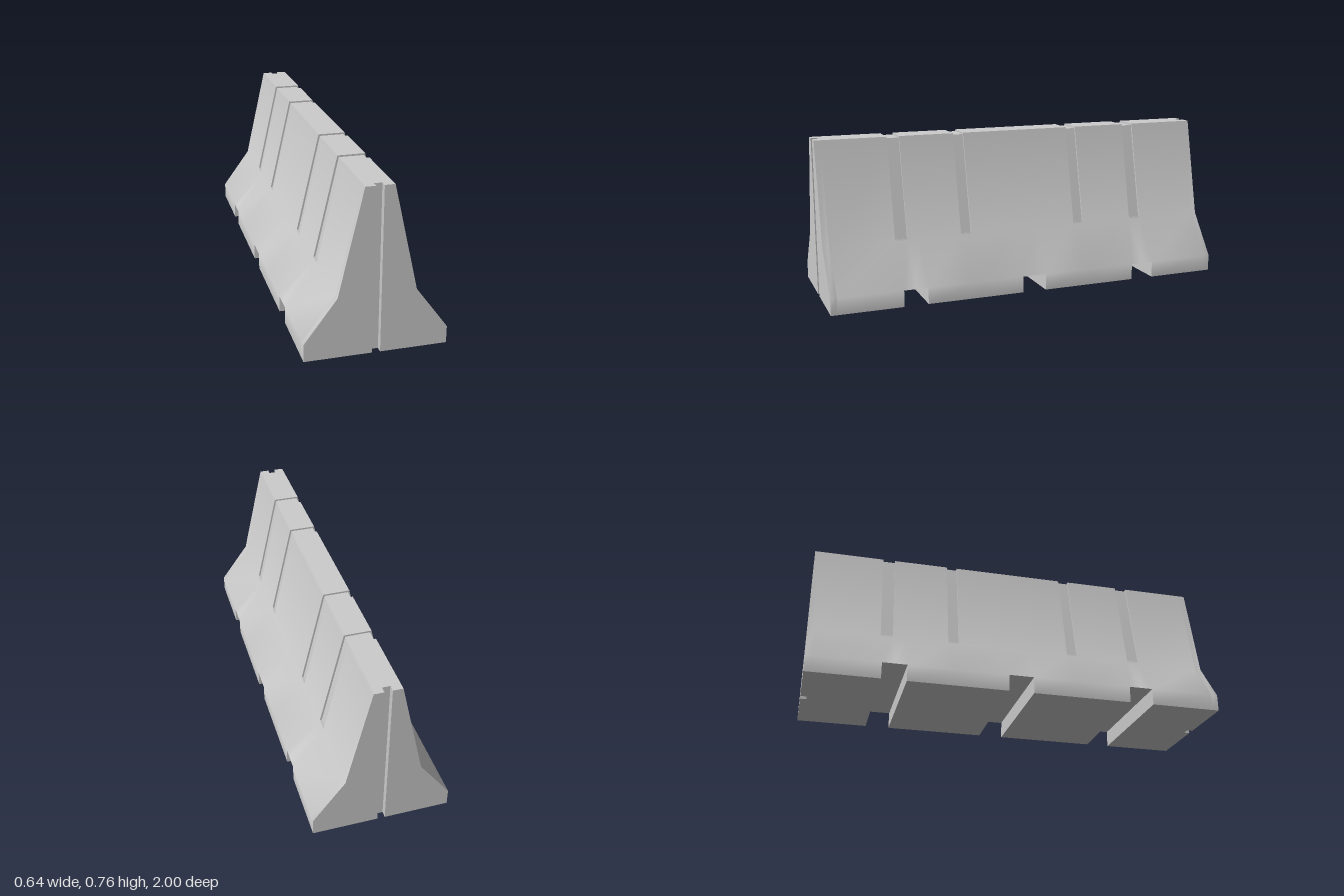
import * as THREE from 'three';
import { mergeGeometries, toCreasedNormals } from 'three/addons/utils/BufferGeometryUtils.js';

const TOP = 0.765, FOOT = 0.08;
const SLOT_HALF = 0.018, SLOT_DEPTH = 0.03;
const NOTCHES = [[-0.657, -0.54], [-0.06, 0.06], [0.54, 0.657]];
const GROOVES = [[-0.657, -0.597], [-0.328, -0.276], [0.276, 0.328], [0.597, 0.657]];

// Right-hand outline of the barrier's cross-section, from bottom to top
function sideOutline(notched, grooved) {
  const points = notched ? [[0.322, FOOT]] : [[0.322, 0], [0.322, FOOT]];
  points.push([0.175, 0.28]);
  if (grooved) points.push([0.1725, 0.291], [0.164, 0.289], [0.057, TOP - 0.008]);
  else points.push([0.064, TOP]);
  return points;
}

// Closed outlines: one whole section, or two halves where the end slot runs
function sectionShapes(notched, grooved, slotted) {
  const right = sideOutline(notched, grooved);
  const mirror = (pts) => pts.map(([x, y]) => [-x, y]).reverse();
  const half = [[SLOT_HALF, 0], ...right, [SLOT_HALF, TOP]];
  const outlines = slotted ? [half, mirror(half)] : [[...right, ...mirror(right)]];
  return outlines.map((o) => new THREE.Shape(o.map(([x, y]) => new THREE.Vector2(x, y))));
}

export function createModel() {
  const group = new THREE.Group();
  group.name = 'concreteBarrier';

  // Lengthwise slices, cut wherever the cross-section changes
  const cuts = [-1, -1 + SLOT_DEPTH, 1 - SLOT_DEPTH, 1, ...NOTCHES.flat(), ...GROOVES.flat()];
  const stations = [...new Set(cuts)].sort((a, b) => a - b);
  const slices = [];
  for (let i = 0; i < stations.length - 1; i++) {
    const [z0, z1] = [stations[i], stations[i + 1]];
    const mid = (z0 + z1) / 2;
    const within = ([a, b]) => mid > a && mid < b;
    const slotted = Math.abs(mid) > 1 - SLOT_DEPTH;
    const shapes = sectionShapes(NOTCHES.some(within), GROOVES.some(within), slotted);
    const slice = new THREE.ExtrudeGeometry(shapes, { depth: z1 - z0, bevelEnabled: false });
    slices.push(slice.translate(0, 0, z0));
  }

  // Soft bends on the flanks, sharp edges elsewhere
  const geometry = toCreasedNormals(mergeGeometries(slices), THREE.MathUtils.degToRad(40));
  const body = new THREE.Mesh(geometry, new THREE.MeshStandardMaterial({ color: 0xcccccc }));
  body.name = 'barrierBody';
  group.add(body);
  return group;
}
